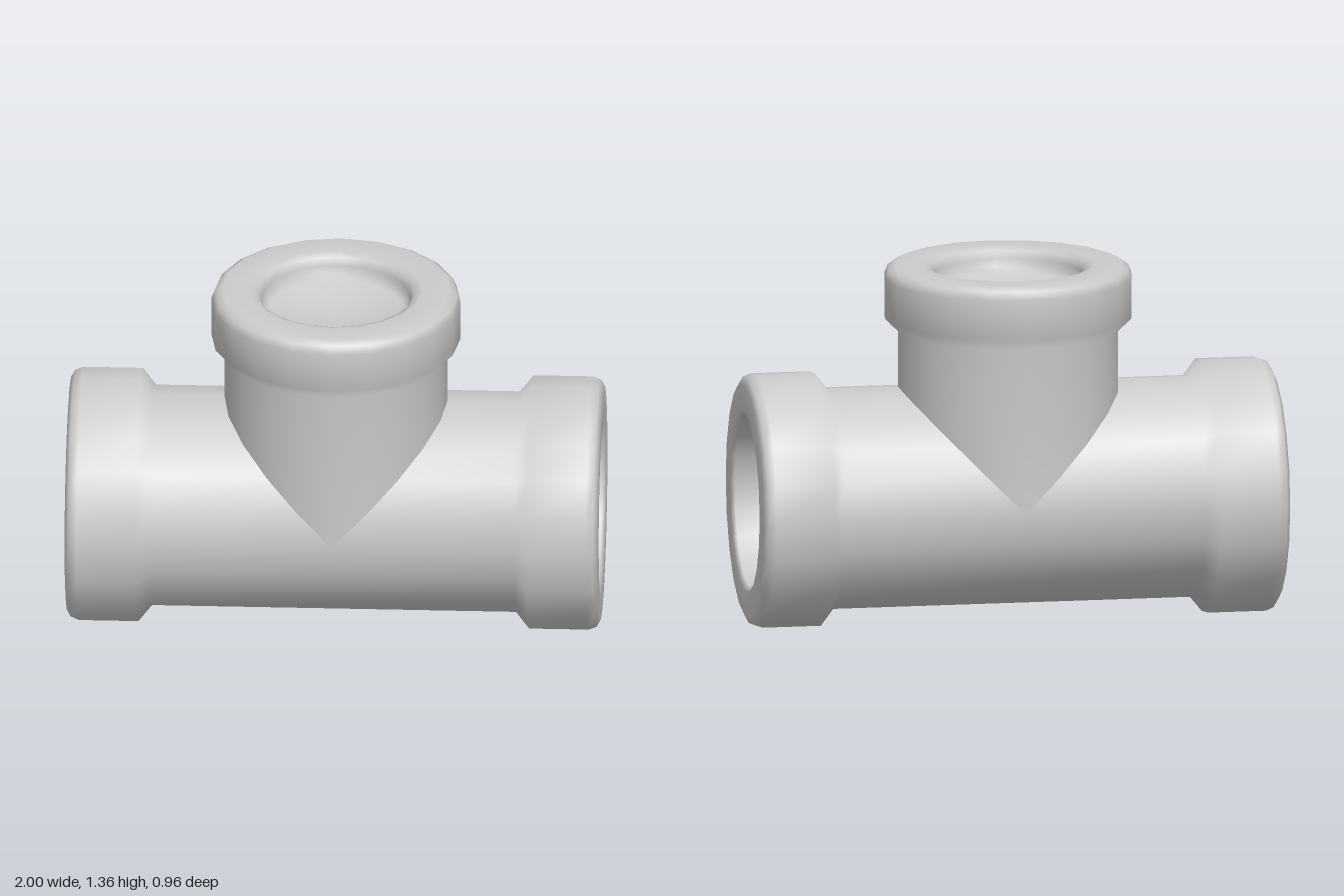
import * as THREE from 'three';
import { mergeVertices } from 'three/addons/utils/BufferGeometryUtils.js';

const SIDES = 20;
const AXIS_Y = 0.48;
const PIPE_R = 0.418;

// Collared pipe end as [radius, height] points: chamfer, collar, rounded rim, flat face
function collaredEnd(end, collar, length) {
  return [
    [PIPE_R, end - length - 0.05], [collar, end - length],
    [collar, end - 0.045], [collar - 0.012, end - 0.015], [collar - 0.04, end],
  ];
}

// Turned part with normals weighted by face area, so small chamfers blend softly
function turned(name, profile, material) {
  const points = profile.map(([r, y]) => new THREE.Vector2(r, y));
  const raw = new THREE.LatheGeometry(points, SIDES);
  raw.deleteAttribute('normal');
  raw.deleteAttribute('uv');
  const geometry = mergeVertices(raw, 1e-4);
  geometry.computeVertexNormals();
  const mesh = new THREE.Mesh(geometry, material);
  mesh.name = name;
  mesh.position.y = AXIS_Y;
  return mesh;
}

export function createModel() {
  const group = new THREE.Group();
  group.name = 'pipeTee';
  const material = new THREE.MeshStandardMaterial({ color: 0xcccccc });

  // Horizontal run: a collar and a bowl-shaped bore at each end
  const half = [
    ...collaredEnd(1, 0.48, 0.265),
    [0.345, 1], [0.325, 0.985], [0.31, 0.86], [0.29, 0.74],
    [0.25, 0.64], [0.18, 0.56], [0.09, 0.515], [0, 0.5],
  ];
  const mirrored = half.map(([r, y]) => [r, -y]).reverse();
  const run = turned('mainPipe', [...mirrored, ...half], material);
  run.rotation.z = -Math.PI / 2;
  group.add(run);

  // Upright branch, meeting the run on its axis, with a rounded lip and a shallow dished floor
  const top = 1.355 - AXIS_Y;
  const branch = [
    [PIPE_R, 0], ...collaredEnd(top, 0.468, 0.195),
    [0.325, top], [0.295, top - 0.012], [0.28, top - 0.04],
    [0.282, top - 0.07], [0.26, top - 0.09], [0.13, top - 0.12], [0, top - 0.13],
  ];
  group.add(turned('branchPipe', branch, material));

  return group;
}
